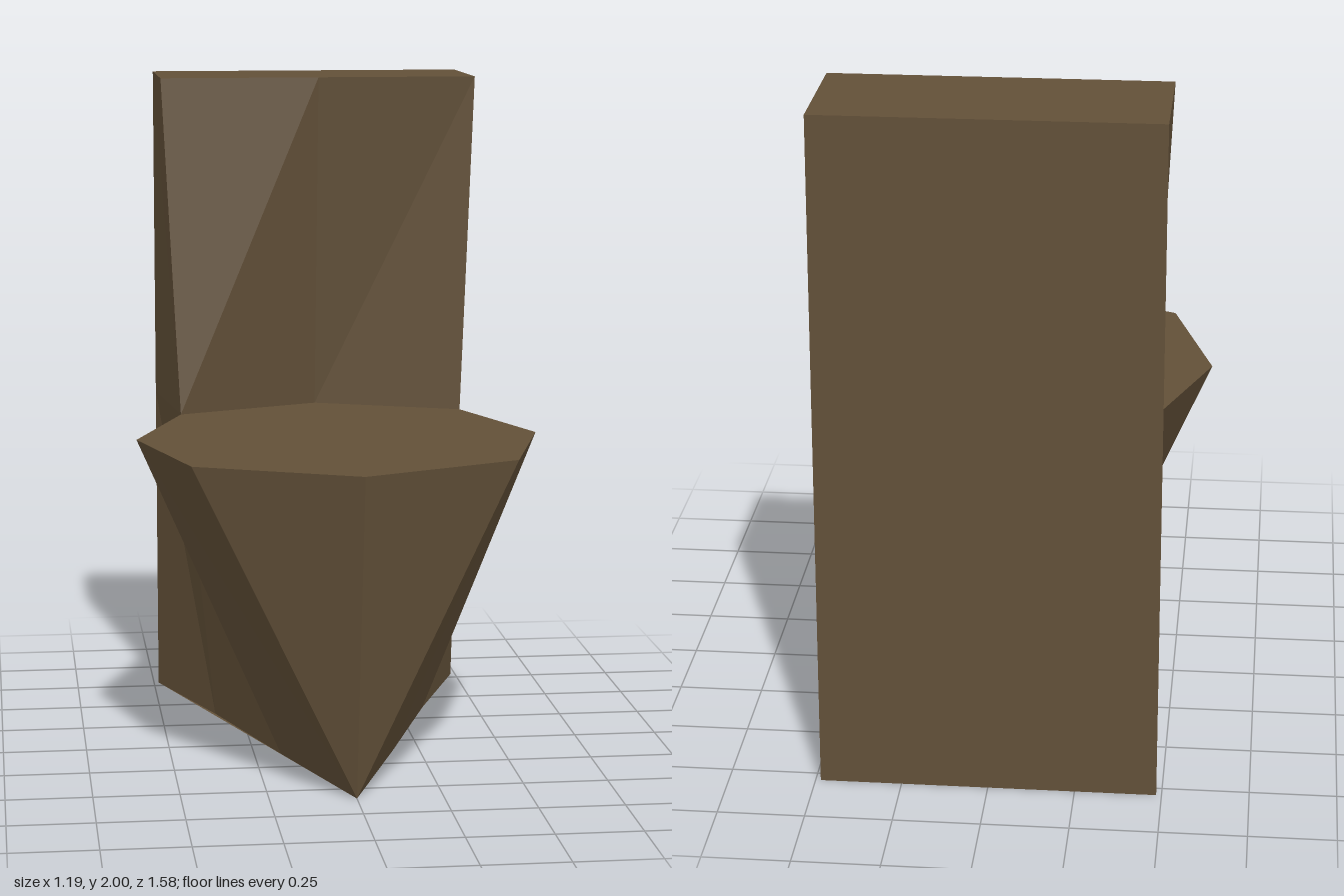
import * as THREE from 'three';

// Corner points of the +x half; the other half is mirrored
const backFoot = [0.485, 0, -0.79], backMid = [0.485, 0.97, -0.79], backTop = [0.485, 2, -0.79];
const frontTop = [0.485, 2, -0.38], centreTop = [0, 2, -0.38];
const backCentreTop = [0, 2, -0.79], backCentreFoot = [0, 0, -0.79];
// Octagonal seat rim, from back to front
const rim = [[0, 0.97, -0.5], [0.435, 0.97, -0.32], [0.595, 0.97, 0.12], [0.465, 0.97, 0.575], [0, 0.97, 0.785]];
// Base outline, tapering to a point at the front
const base = [[0.33, 0, -0.375], [0.17, 0, 0.11], [0, 0, 0.6]];

// Fans each loop of corners into triangles, on both sides of x = 0
function mirroredFaces(loops) {
  const pos = [];
  for (const loop of loops) {
    const mirrored = loop.map(([x, y, z]) => [-x, y, z]).reverse();
    for (const l of [loop, mirrored]) {
      for (let i = 1; i < l.length - 1; i++) pos.push(...l[0], ...l[i], ...l[i + 1]);
    }
  }
  const geo = new THREE.BufferGeometry();
  geo.setAttribute('position', new THREE.Float32BufferAttribute(pos, 3));
  geo.computeVertexNormals();
  return geo;
}

export function createModel() {
  const group = new THREE.Group();
  const brown = new THREE.MeshStandardMaterial({ color: 0x625038 });
  brown.name = 'brown';
  brown.flatShading = true;

  const add = (name, loops) => {
    const mesh = new THREE.Mesh(mirroredFaces(loops), brown);
    mesh.name = name;
    group.add(mesh);
  };

  // Tall back block with a slightly creased front
  add('backrest', [
    [backCentreFoot, backCentreTop, backTop, backFoot],
    [centreTop, frontTop, backTop, backCentreTop],
    [backFoot, backMid, rim[1], base[0]],
    [backMid, backTop, frontTop, rim[1]],
    [rim[0], rim[1], frontTop, centreTop],
  ]);

  // Flat octagonal top
  add('seat', [[rim[0], rim[4], rim[3], rim[2], rim[1]]]);

  // Faceted sides narrowing down to the base
  add('bowl', [
    [base[0], rim[1], rim[2], base[1]],
    [base[1], rim[2], rim[3], base[2]],
    [base[2], rim[3], rim[4]],
  ]);

  // Triangular underside
  add('base', [[backCentreFoot, backFoot, ...base]]);

  return group;
}
